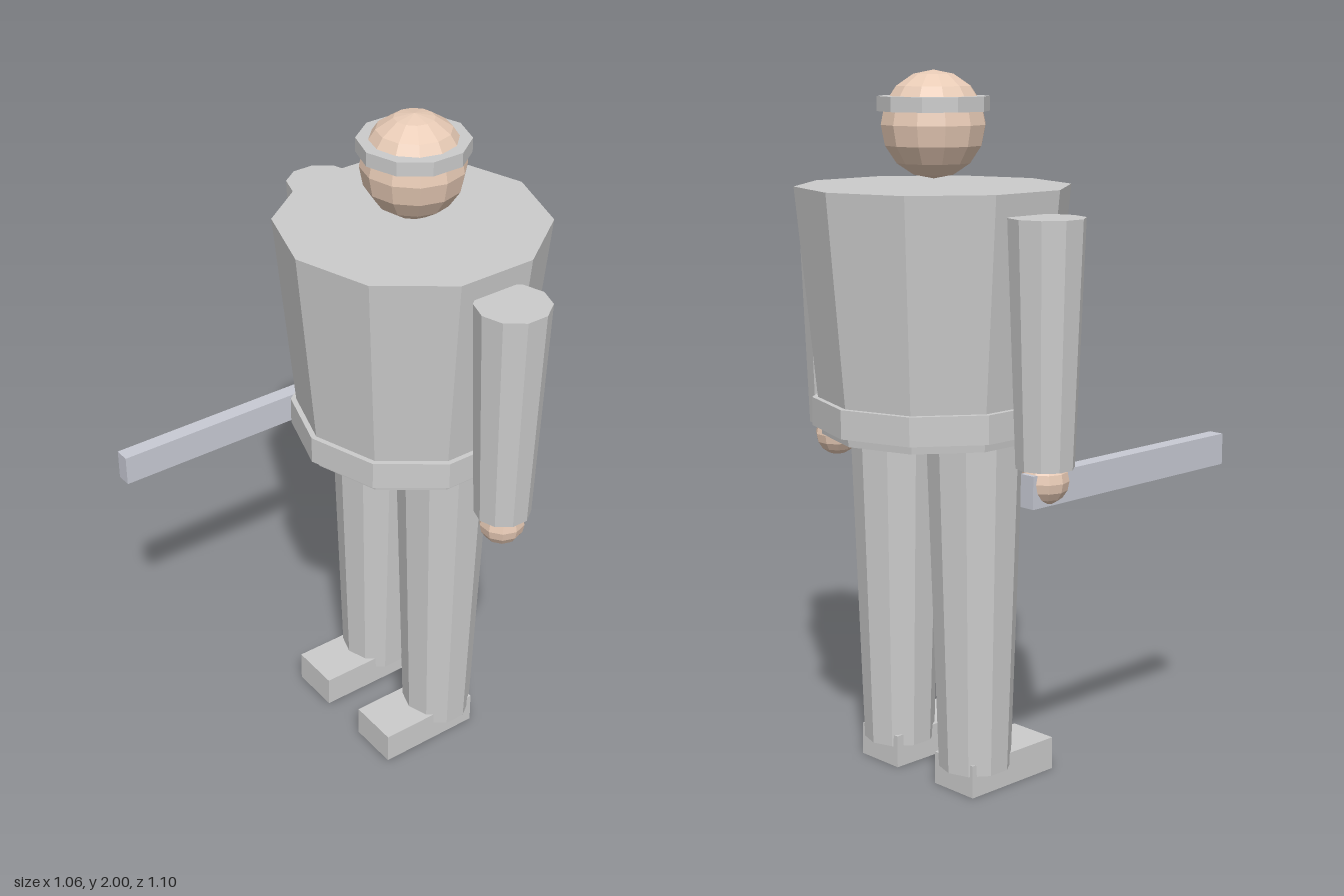
import * as THREE from 'three';

const BODY_Z = -0.165;
const SIDES = 10;

function material(color) {
  return new THREE.MeshStandardMaterial({ color, flatShading: true });
}

export function createModel() {
  const model = new THREE.Group();
  model.name = 'figure';
  const grey = material(0xcccccc);
  const skin = material(0xe8cbb6);
  const steel = material(0xc8cad4);

  function add(name, geometry, mat, x, y, z = BODY_Z) {
    const mesh = new THREE.Mesh(geometry, mat);
    mesh.name = name;
    mesh.position.set(x, y, z);
    model.add(mesh);
    return mesh;
  }

  // Ten-sided tapered column between two heights
  function column(name, x, yBottom, yTop, rBottom, rTop) {
    const geometry = new THREE.CylinderGeometry(rTop, rBottom, yTop - yBottom, SIDES);
    return add(name, geometry, grey, x, (yBottom + yTop) / 2);
  }

  // Trunk and belt
  column('torso', 0, 1.005, 1.69, 0.316, 0.382);
  column('belt', 0, 1.03, 1.11, 0.342, 0.342);

  // Head with a band around the brow
  add('head', new THREE.SphereGeometry(0.146, 12, 8), skin, 0, 1.854);
  column('headband', 0, 1.89, 1.93, 0.155, 0.155);

  // Limbs, mirrored left (+x) and right (-x)
  for (const [side, s] of [['left', 1], ['right', -1]]) {
    column(side + 'Arm', s * 0.43, 0.97, 1.63, 0.08, 0.104);
    add(side + 'Hand', new THREE.SphereGeometry(0.065, 10, 8), skin, s * 0.43, 0.935);
    column(side + 'Leg', s * 0.161, 0.06, 1.005, 0.103, 0.134);
    add(side + 'Shoe', new THREE.BoxGeometry(0.155, 0.095, 0.32), grey, s * 0.158, 0.0475, -0.085);
  }

  // Flat bar held in the right hand, pointing forward
  add('heldBar', new THREE.BoxGeometry(0.046, 0.09, 0.785), steel, -0.431, 0.915, 0.158);

  return model;
}
